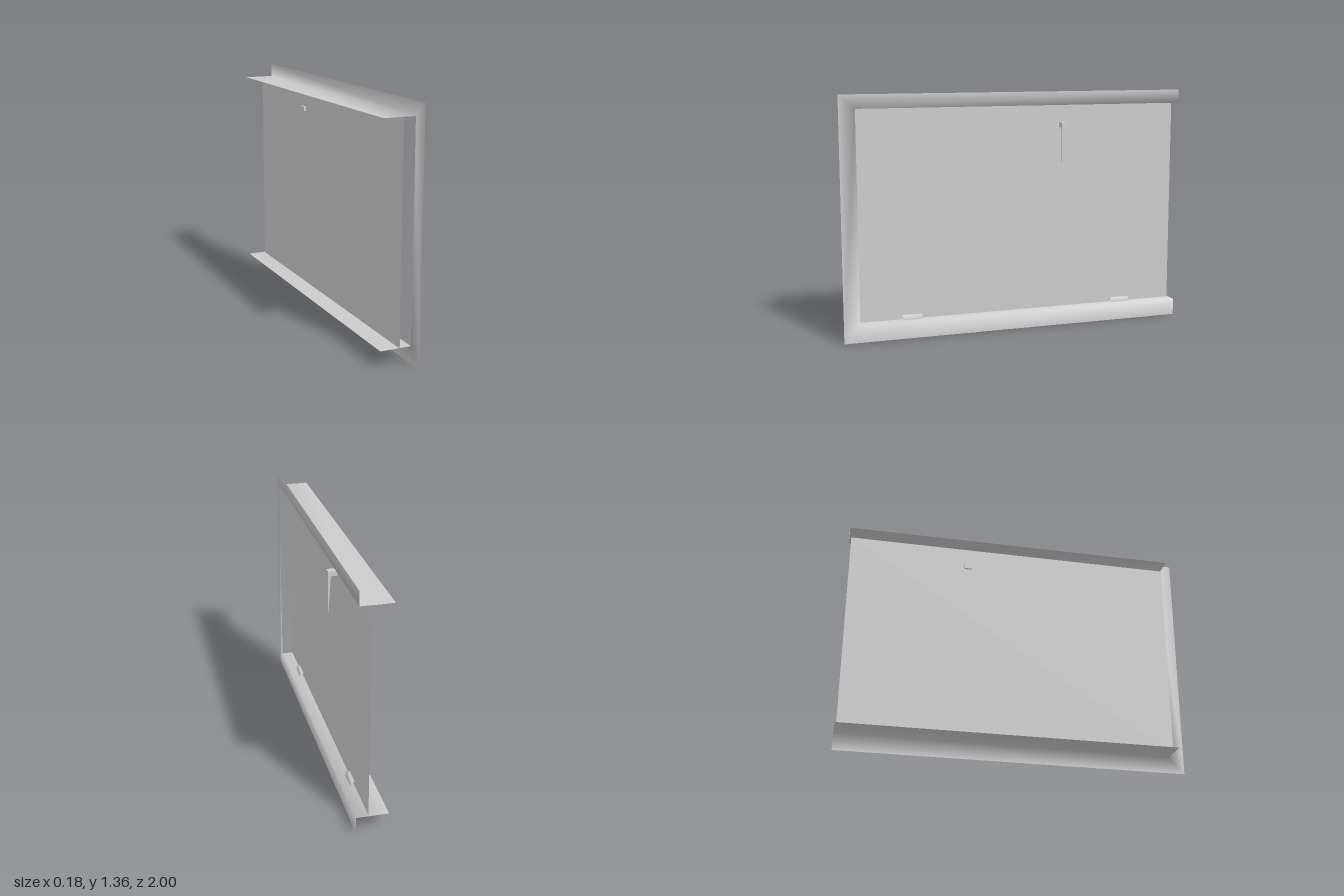
import * as THREE from 'three';

const material = new THREE.MeshStandardMaterial({ color: 0xcccccc, side: THREE.DoubleSide });

function addMesh(parent, name, geometry) {
  const mesh = new THREE.Mesh(geometry, material);
  mesh.name = name;
  parent.add(mesh);
  return mesh;
}

// Smooth sheet from shared corner points and four-cornered faces
function sheet(points, quads) {
  const geometry = new THREE.BufferGeometry();
  geometry.setAttribute('position', new THREE.Float32BufferAttribute(points.flat(), 3));
  geometry.setIndex(quads.flatMap(([a, b, c, d]) => [a, b, c, a, c, d]));
  geometry.computeVertexNormals();
  return geometry;
}

export function createModel() {
  const group = new THREE.Group();
  group.name = 'windowSash';

  const X = 0.088, TOP = 1.36, LOW = 0.095, HIGH = 1.283, INNER = 0.91;

  // Three-sided face frame, with a flange folded back from each rail
  const frame = [
    [X, 0, 1], [X, 0, -1], [X, LOW, -1], [X, LOW, INNER],
    [X, TOP, 1], [X, TOP, -1], [X, HIGH, -1], [X, HIGH, INNER],
    [-X, LOW, -1], [-X, LOW, INNER], [-X, HIGH, -1], [-X, HIGH, INNER],
  ];
  addMesh(group, 'frame', sheet(frame, [
    [0, 1, 2, 3], // bottom rail
    [0, 3, 7, 4], // post
    [7, 6, 5, 4], // top rail
    [3, 2, 8, 9], // bottom flange
    [6, 7, 11, 10], // top flange
  ]));

  // Flat pane set behind the frame
  const pane = addMesh(group, 'pane', new THREE.PlaneGeometry(1.905, HIGH - LOW));
  pane.rotation.y = Math.PI / 2;
  pane.position.set(0.02, (HIGH + LOW) / 2, -0.037);

  // Handle: short arm out of the pane, tapering lever hanging down
  const profile = new THREE.Shape([
    [0.007, 1.18], [0.007, 1.153], [0.054, 1.153], [0.067, 0.95], [0.069, 0.95], [0.069, 1.18],
  ].map(([x, y]) => new THREE.Vector2(x, y)));
  const handle = addMesh(group, 'handle',
    new THREE.ExtrudeGeometry(profile, { depth: 0.042, bevelEnabled: false }));
  handle.position.z = -0.317;

  // Folded clips on the bottom flange
  for (const z of [0.607, -0.665]) {
    const clip = [[0.02, 0.12], [0.041, 0.12], [0.044, LOW]]
      .flatMap(([x, y]) => [[x, y, z + 0.056], [x, y, z - 0.056]]);
    addMesh(group, 'clip', sheet(clip, [[0, 2, 3, 1], [2, 4, 5, 3]]));
  }

  return group;
}
